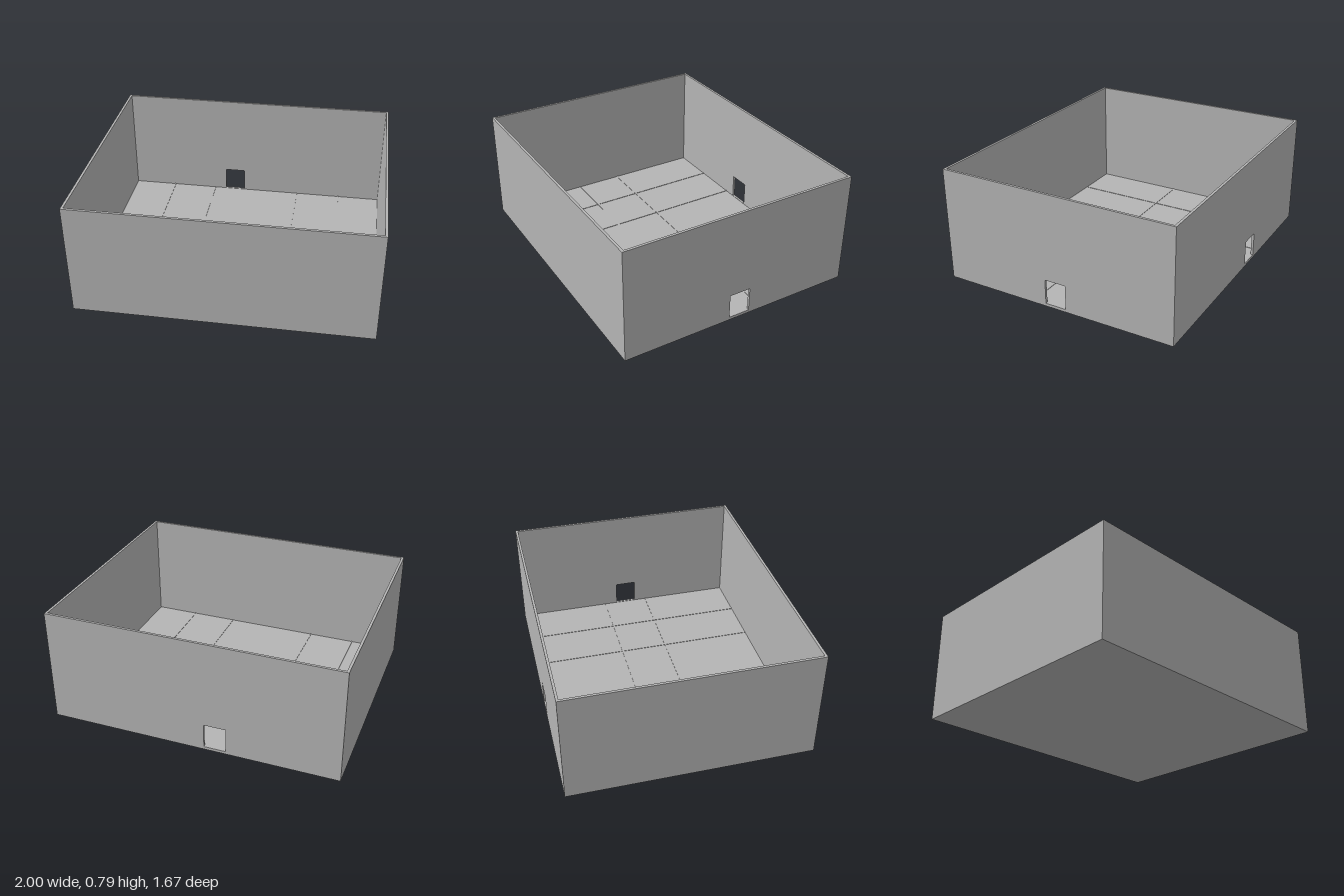
import * as THREE from 'three';

const W = 2, D = 1.666, H = 0.79; // outer size
const T = 0.017;                  // wall and floor thickness
const DOOR_W = 0.15, DOOR_LOW = 0.02, DOOR_TOP = 0.19;

// Upright wall panel, centred on its own x and z, with an optional doorway
function wallGeometry(length, doorX) {
  const shape = new THREE.Shape();
  shape.moveTo(-length / 2, 0);
  shape.lineTo(length / 2, 0);
  shape.lineTo(length / 2, H);
  shape.lineTo(-length / 2, H);
  shape.closePath();
  if (doorX !== undefined) {
    const a = doorX - DOOR_W / 2, b = doorX + DOOR_W / 2;
    const hole = new THREE.Path();
    hole.moveTo(a, DOOR_LOW);
    hole.lineTo(a, DOOR_TOP);
    hole.lineTo(b, DOOR_TOP);
    hole.lineTo(b, DOOR_LOW);
    hole.closePath();
    shape.holes.push(hole);
  }
  const geometry = new THREE.ExtrudeGeometry(shape, { depth: T, bevelEnabled: false });
  geometry.translate(0, 0, -T / 2);
  return geometry;
}

export function createModel() {
  const model = new THREE.Group();
  model.name = 'openRoom';
  const grey = new THREE.MeshStandardMaterial({ color: 0xb4b4b4 });
  grey.name = 'plain grey';

  const add = (name, geometry, x, y, z, turn = 0) => {
    const mesh = new THREE.Mesh(geometry, grey);
    mesh.name = name;
    mesh.position.set(x, y, z);
    mesh.rotation.y = turn;
    model.add(mesh);
  };

  // Floor slab, between the walls
  const innerW = W - 2 * T, innerD = D - 2 * T;
  add('floor', new THREE.BoxGeometry(innerW, T, innerD), 0, T / 2, 0);

  // Long walls; the back one has a doorway off centre
  add('frontWall', wallGeometry(W), 0, 0, (D - T) / 2);
  add('backWall', wallGeometry(W, -0.167), 0, 0, -(D - T) / 2);

  // End walls; the right-hand one has a central doorway
  add('rightEndWall', wallGeometry(innerD, 0), (W - T) / 2, 0, 0, Math.PI / 2);
  add('leftEndWall', wallGeometry(innerD), -(W - T) / 2, 0, 0, Math.PI / 2);

  // Thin joint strips across the floor
  const stripW = 0.01, stripH = 0.003;
  for (const x of [-0.667, -0.333, 0.333, 0.667]) {
    add('crossJoint', new THREE.BoxGeometry(stripW, stripH, innerD), x, T + stripH / 2, 0);
  }
  for (const z of [-0.167, 0.167]) {
    add('longJoint', new THREE.BoxGeometry(innerW, stripH * 0.9, stripW), 0, T + stripH * 0.45, z);
  }
  return model;
}
